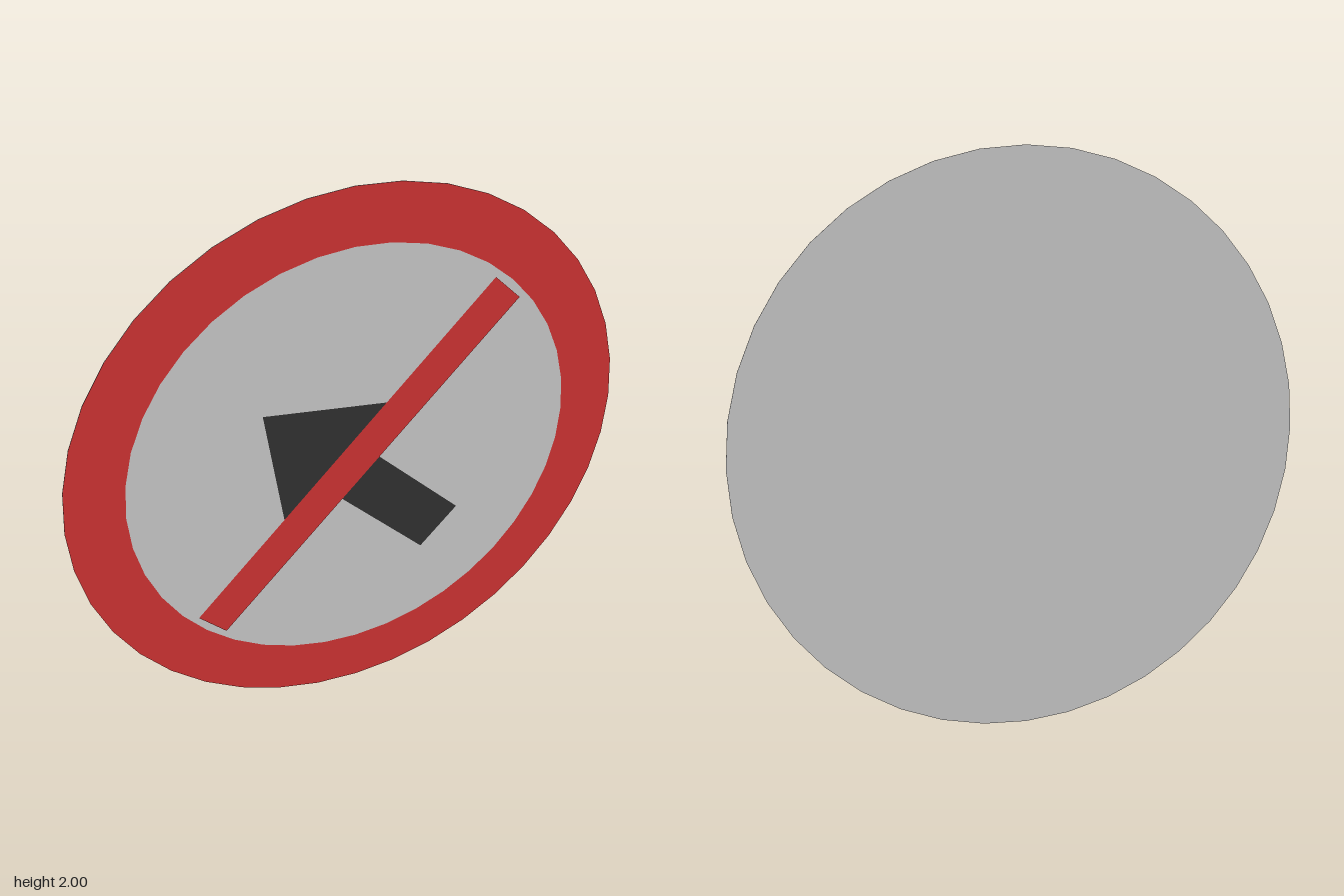
import * as THREE from 'three';

const SIDES = 40;

export function createModel() {
  const sign = new THREE.Group();
  sign.name = 'roadSign';
  const grey = new THREE.MeshStandardMaterial({ color: 0xcccccc });
  const red = new THREE.MeshStandardMaterial({ color: 0xd23434 });
  const black = new THREE.MeshStandardMaterial({ color: 0x333333 });

  const add = (parent, name, geometry, material, z) => {
    const mesh = new THREE.Mesh(geometry, material);
    mesh.name = name;
    mesh.position.z = z;
    parent.add(mesh);
    return mesh;
  };

  // Thin round backing plate, its axis turned to face +z
  const plate = new THREE.CylinderGeometry(1, 1, 0.002, SIDES);
  plate.rotateX(Math.PI / 2);
  add(sign, 'backPlate', plate, grey, -0.003);

  // Face panel and red border
  add(sign, 'borderRing', new THREE.RingGeometry(0.8, 1, SIDES), red, -0.001);
  add(sign, 'facePanel', new THREE.CircleGeometry(0.8, SIDES), grey, 0);

  // Arrow and bar share a frame tilted by 45 degrees
  const symbol = new THREE.Group();
  symbol.name = 'symbol';
  symbol.rotation.z = Math.PI / 4;
  sign.add(symbol);

  // Arrow pointing to the upper left: tip, head corners, shaft
  const arrow = new THREE.Shape([
    [0, 0.417], [-0.316, 0], [-0.098, 0], [-0.098, -0.503],
    [0.098, -0.503], [0.098, 0], [0.316, 0],
  ].map(([x, y]) => new THREE.Vector2(x, y)));
  add(symbol, 'arrow', new THREE.ShapeGeometry(arrow), black, 0.002).position.x = -0.042;

  // Diagonal bar crossing the arrow
  add(symbol, 'diagonalBar', new THREE.PlaneGeometry(1.54, 0.134), red, 0.004);

  sign.position.y = 1;
  const model = new THREE.Group();
  model.name = 'model';
  model.add(sign);
  return model;
}
